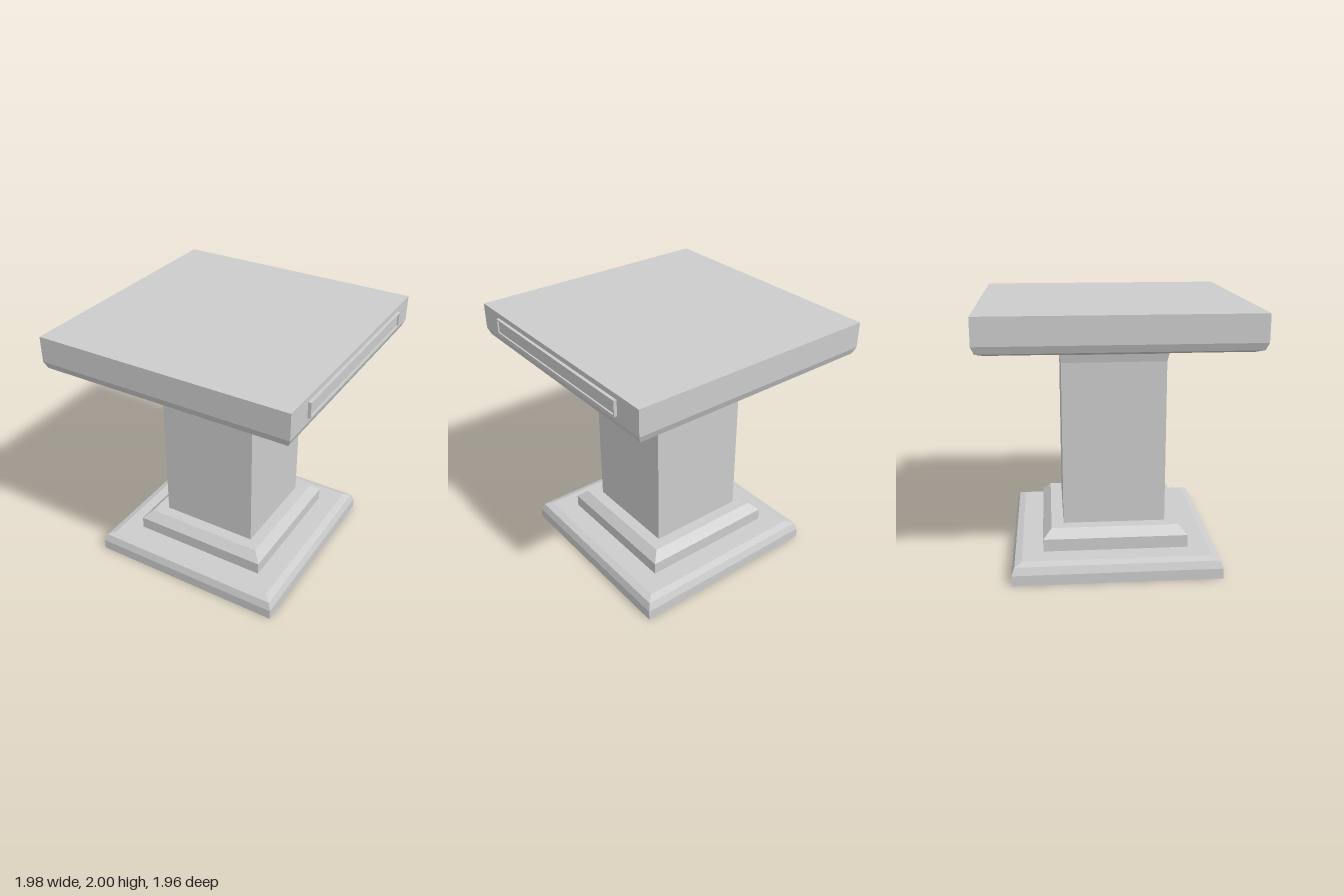
import * as THREE from 'three';

const material = new THREE.MeshStandardMaterial({ color: 0xcccccc, flatShading: true });

// Square solid from a profile of [half width, height] pairs, bottom to top
function squareTurned(name, profile) {
  const points = profile.map(([half, y]) => new THREE.Vector2(half * Math.SQRT2, y));
  points.unshift(new THREE.Vector2(0, profile[0][1]));
  points.push(new THREE.Vector2(0, profile[profile.length - 1][1]));
  const mesh = new THREE.Mesh(new THREE.LatheGeometry(points, 4, Math.PI / 4), material);
  mesh.name = name;
  return mesh;
}

function rectangle(PathType, halfW, halfH) {
  const path = new PathType();
  path.moveTo(-halfW, -halfH);
  path.lineTo(halfW, -halfH);
  path.lineTo(halfW, halfH);
  path.lineTo(-halfW, halfH);
  path.closePath();
  return path;
}

// Framed name plate with a recessed panel, facing +z before it is placed
function createPlate() {
  const plate = new THREE.Group();
  plate.name = 'sidePlate';

  const outline = rectangle(THREE.Shape, 0.75, 0.058);
  outline.holes.push(rectangle(THREE.Path, 0.738, 0.046));
  const frame = new THREE.Mesh(
    new THREE.ExtrudeGeometry(outline, { depth: 0.024, bevelEnabled: false }), material);
  frame.name = 'plateFrame';

  const panel = new THREE.Mesh(new THREE.BoxGeometry(1.476, 0.092, 0.012), material);
  panel.name = 'platePanel';
  panel.position.z = 0.006;

  plate.add(frame, panel);
  return plate;
}

export function createModel() {
  const model = new THREE.Group();
  model.name = 'pedestal';

  // Stacked square parts
  const body = new THREE.Group();
  body.name = 'pedestalBody';
  body.position.x = -0.013;
  body.add(
    squareTurned('plinth', [
      [0.782, 0], [0.782, 0.08], [0.76, 0.137], [0.707, 0.157]]),
    squareTurned('baseStep', [
      [0.548, 0.157], [0.548, 0.253], [0.483, 0.318]]),
    squareTurned('column', [
      [0.39, 0.318], [0.39, 1.57], [0.402, 1.63], [0.442, 1.687], [0.498, 1.72], [0.56, 1.733]]),
    squareTurned('topSlab', [
      [0.905, 1.733], [0.957, 1.752], [0.978, 1.805], [0.978, 2]]),
  );

  // Plate on the +x side of the slab
  const plate = createPlate();
  plate.rotation.y = Math.PI / 2;
  plate.position.set(0.964, 1.904, 0);

  model.add(body, plate);
  return model;
}
